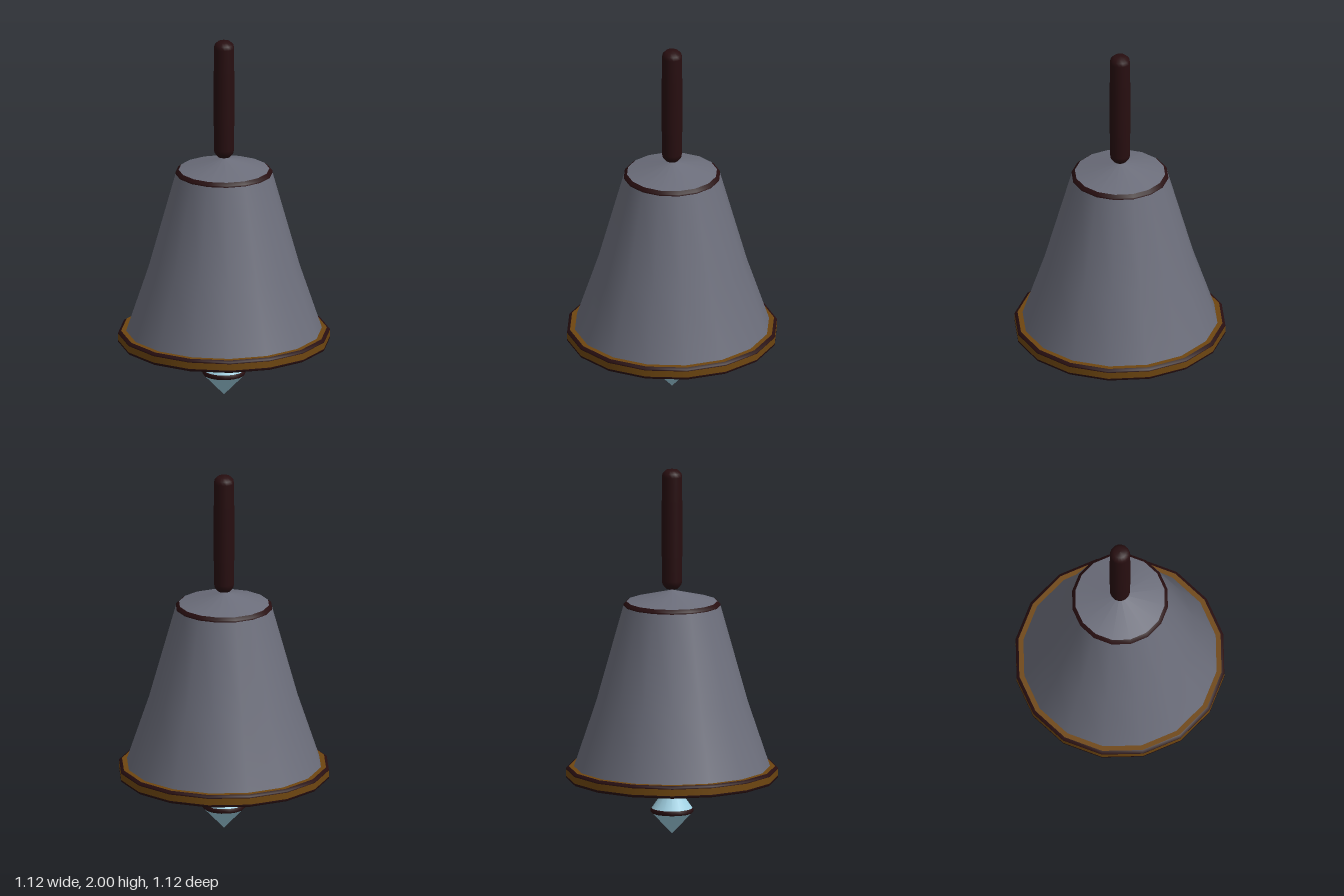
import * as THREE from 'three';

const SIDES = 16;
const FLAT = 1 / Math.cos(Math.PI / SIDES); // flat-to-flat radius -> corner radius

function material(name, color) {
  const m = new THREE.MeshStandardMaterial({ color });
  m.name = name;
  return m;
}

export function createModel() {
  const model = new THREE.Group();
  model.name = 'handBell';

  const grey = material('bell grey', 0x6c6e7b);
  const brown = material('rim brown', 0x6e4610);
  const dark = material('dark trim', 0x270e10);
  const blue = material('clapper blue', 0xa0d0e2);

  // Turned part: profile of [radius, height], listed so that faces point outward
  function turned(name, mat, profile) {
    const points = profile.map(([r, y]) => new THREE.Vector2(r * FLAT, y));
    const mesh = new THREE.Mesh(new THREE.LatheGeometry(points, SIDES, Math.PI / SIDES), mat);
    mesh.name = name;
    model.add(mesh);
  }

  // Bell body with trimmed shoulder and shallow conical crown
  turned('bellBody', grey, [[0.52, 0.365], [0.4, 0.73], [0.257, 1.253]]);
  turned('shoulderTrim', dark, [[0.257, 1.253], [0.257, 1.262], [0.24, 1.276]]);
  turned('bellCrown', grey, [[0.24, 1.276], [0, 1.34]]);

  // Rim: closed underside, brown faces and dark bevelled edges
  turned('rimUnderside', brown, [[0, 0.302], [0.553, 0.302]]);
  turned('rimLowerEdge', dark, [[0.553, 0.302], [0.56, 0.308], [0.56, 0.317]]);
  turned('rimSide', brown, [[0.56, 0.317], [0.56, 0.353]]);
  turned('rimUpperEdge', dark, [[0.56, 0.353], [0.56, 0.361], [0.545, 0.37]]);
  turned('rimTop', brown, [[0.545, 0.37], [0.51, 0.37]]);

  // Clapper: double cone with a dark waist
  turned('clapperBottom', blue, [[0, 0], [0.108, 0.115]]);
  turned('clapperTrim', dark, [[0.108, 0.115], [0.114, 0.121], [0.114, 0.135], [0.108, 0.141]]);
  turned('clapperTop', blue, [[0.108, 0.141], [0, 0.3]]);

  // Handle with rounded ends and a slightly thicker grip
  turned('handle', dark, [
    [0, 1.345], [0.033, 1.347], [0.05, 1.368], [0.054, 1.39], [0.054, 1.52], [0.056, 1.522],
    [0.056, 1.828], [0.054, 1.83], [0.054, 1.96], [0.05, 1.98], [0.033, 1.997], [0, 2],
  ]);

  return model;
}
